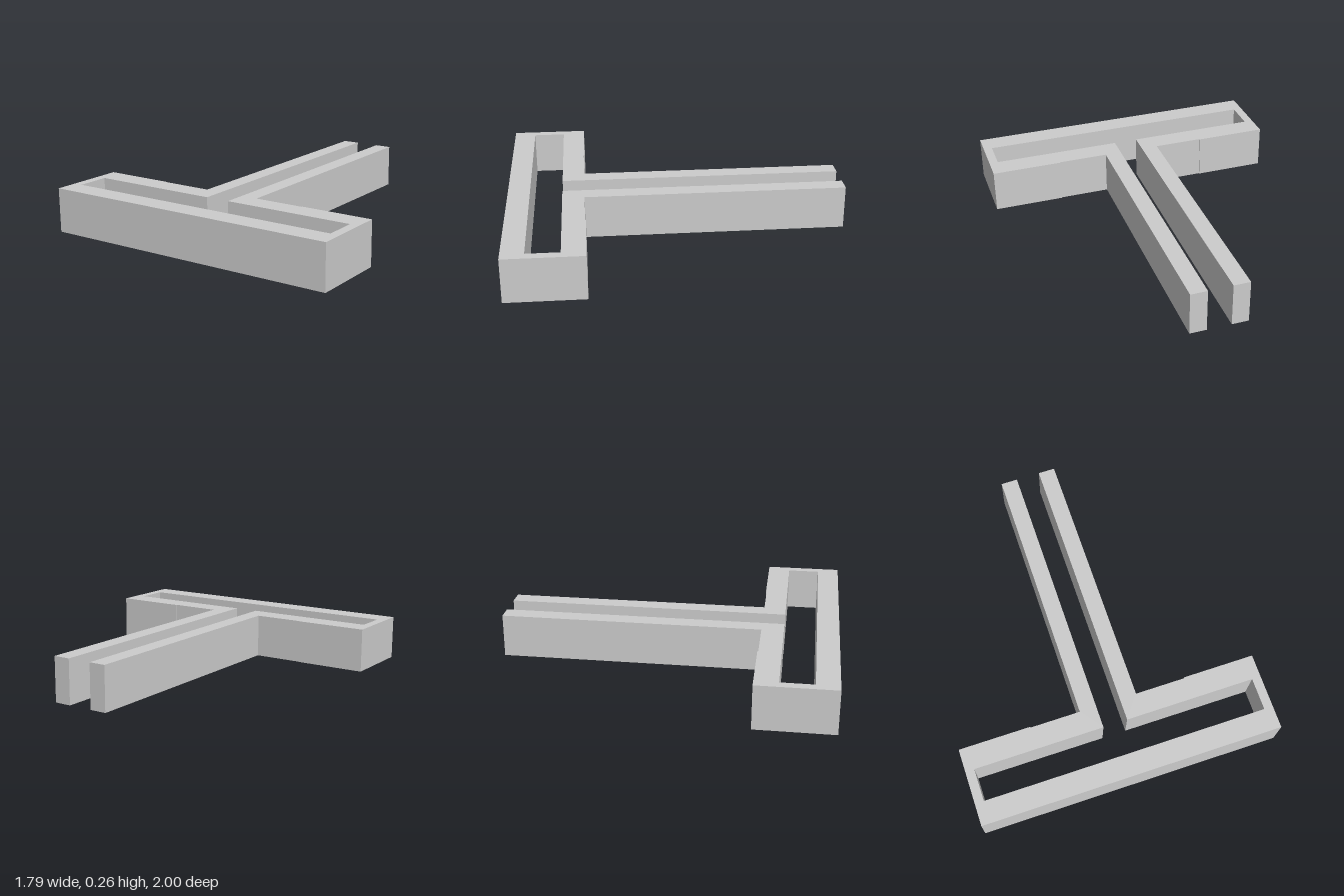
import * as THREE from 'three';

const HEIGHT = 0.26;

// Right half of the T-shaped outline as [x, z], from the front corner to the slot's inner corner
const HALF = [
  [0.897, 1], [0.897, 0.545], [0.47, 0.545], [0.47, 0.55], [0.172, 0.55],
  [0.172, -1], [0.072, -1], [0.072, 0.68], [0.844, 0.68], [0.844, 0.87],
];

export function createModel() {
  const group = new THREE.Group();
  group.name = 'slottedTChannel';
  const material = new THREE.MeshStandardMaterial({
    color: 0xcccccc, flatShading: true, side: THREE.DoubleSide,
  });
  const add = (name, geometry) => {
    const mesh = new THREE.Mesh(geometry, material);
    mesh.name = name;
    group.add(mesh);
    return mesh;
  };

  // Closed outline: one half plus its mirror
  const outline = [...HALF, ...HALF.map(([x, z]) => [-x, z]).reverse()];

  // Upright walls around the outline
  const positions = [];
  outline.forEach(([ax, az], i) => {
    const [bx, bz] = outline[(i + 1) % outline.length];
    positions.push(
      ax, 0, az, bx, 0, bz, bx, HEIGHT, bz,
      ax, 0, az, bx, HEIGHT, bz, ax, HEIGHT, az,
    );
  });
  const walls = new THREE.BufferGeometry();
  walls.setAttribute('position', new THREE.Float32BufferAttribute(positions, 3));
  walls.computeVertexNormals();
  add('walls', walls);

  // Flat top; the underside is left open
  const shape = new THREE.Shape(outline.map(([x, z]) => new THREE.Vector2(x, -z)));
  add('top', new THREE.ShapeGeometry(shape).rotateX(-Math.PI / 2).translate(0, HEIGHT, 0));

  // Small floor plate closing the middle of the front bar
  add('floorPlate', new THREE.PlaneGeometry(0.144, 0.13).rotateX(Math.PI / 2).translate(0, 0, 0.935));

  return group;
}
